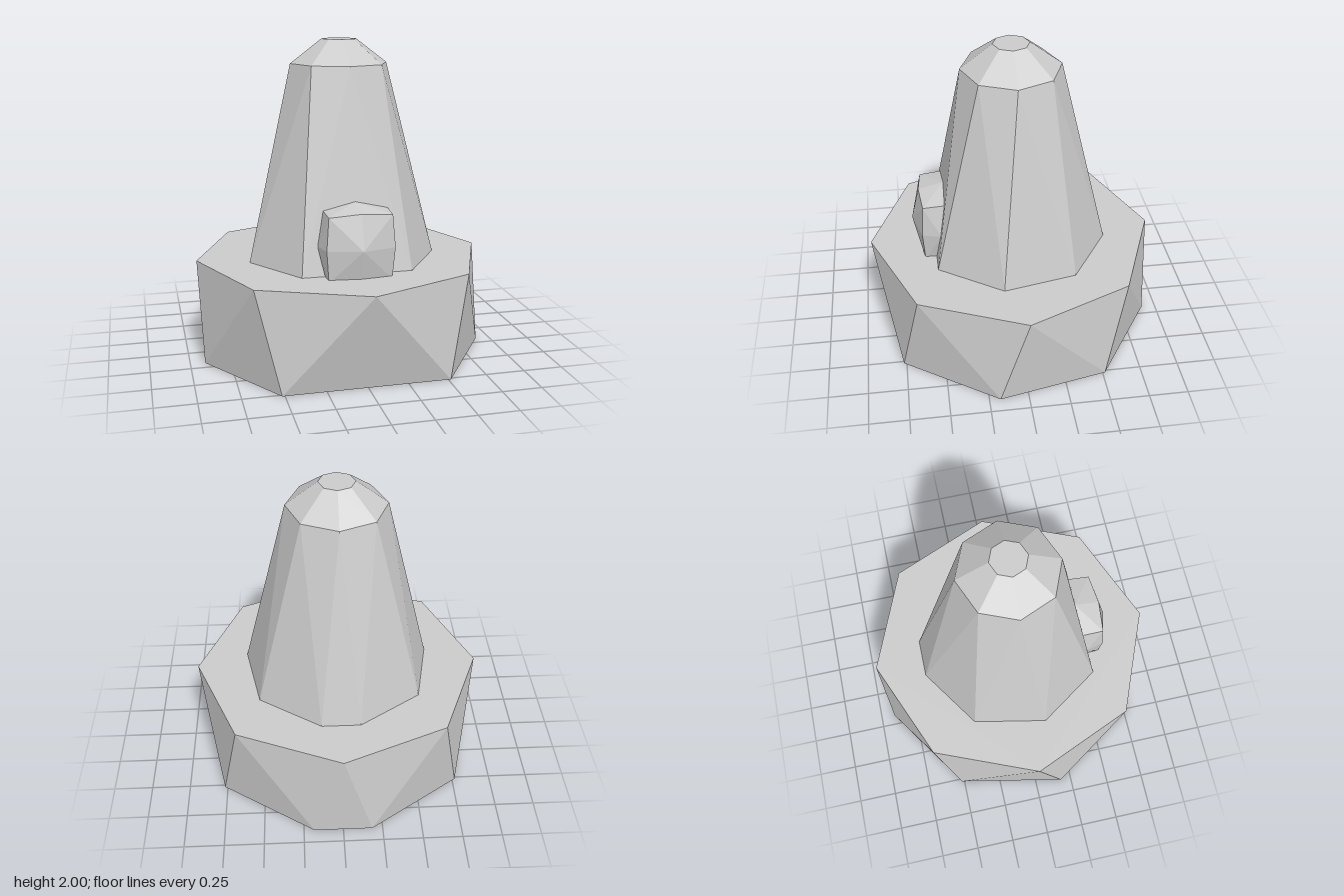
import * as THREE from 'three';
import { ConvexGeometry } from 'three/addons/geometries/ConvexGeometry.js';

const material = new THREE.MeshStandardMaterial({ color: 0xcccccc, flatShading: true });

// Eight points on a level ring; angles run from the front (+z) round to the left (+x).
function ring(radius, y, z, degrees) {
  return degrees.map((d) => {
    const a = THREE.MathUtils.degToRad(d);
    return new THREE.Vector3(radius * Math.sin(a), y, z + radius * Math.cos(a));
  });
}

// Faceted solid around a set of points
function solid(name, points) {
  const mesh = new THREE.Mesh(new ConvexGeometry(points), material);
  mesh.name = name;
  return mesh;
}

export function createModel() {
  const group = new THREE.Group();
  group.name = 'tower';

  const even = [0, 45, 90, 135, 180, 225, 270, 315];
  // Twisted ring, mirrored left to right: wide gap in front, narrow one behind
  const twisted = [33.9, 78.8, 123.9, 168.5].flatMap((d) => [d, -d]);

  // Base: even octagon above a twisted one
  group.add(solid('base', [
    ...ring(0.927, 0.62, 0, even),
    ...ring(0.925, 0, 0, twisted),
  ]));

  // Tapered tower with a bevelled top
  group.add(solid('towerBody', [
    ...ring(0.615, 0.62, -0.005, twisted),
    ...ring(0.31, 1.85, -0.005, even),
    ...ring(0.112, 2, -0.005, even),
  ]));

  // Door: rounded block, its back sunk in the tower and its foot in the base
  const half = [
    [0, 0, 0.645], [0.21, 0, 0.59], [0, 0.215, 0.595], [0.195, 0.198, 0.577],
    [0.242, 0, 0.47], [0.2, 0.21, 0.44], [0, 0.255, 0.432],
    [0.24, 0, 0.38], [0.198, 0.208, 0.38], [0, 0.254, 0.38],
  ];
  const doorPoints = [];
  for (const [x, h, z] of half) {
    for (const sx of x ? [1, -1] : [1]) {
      for (const sy of h ? [1, -1] : [1]) {
        doorPoints.push(new THREE.Vector3(sx * x, 0.8 + sy * h, z));
      }
    }
  }
  group.add(solid('door', doorPoints));

  return group;
}
